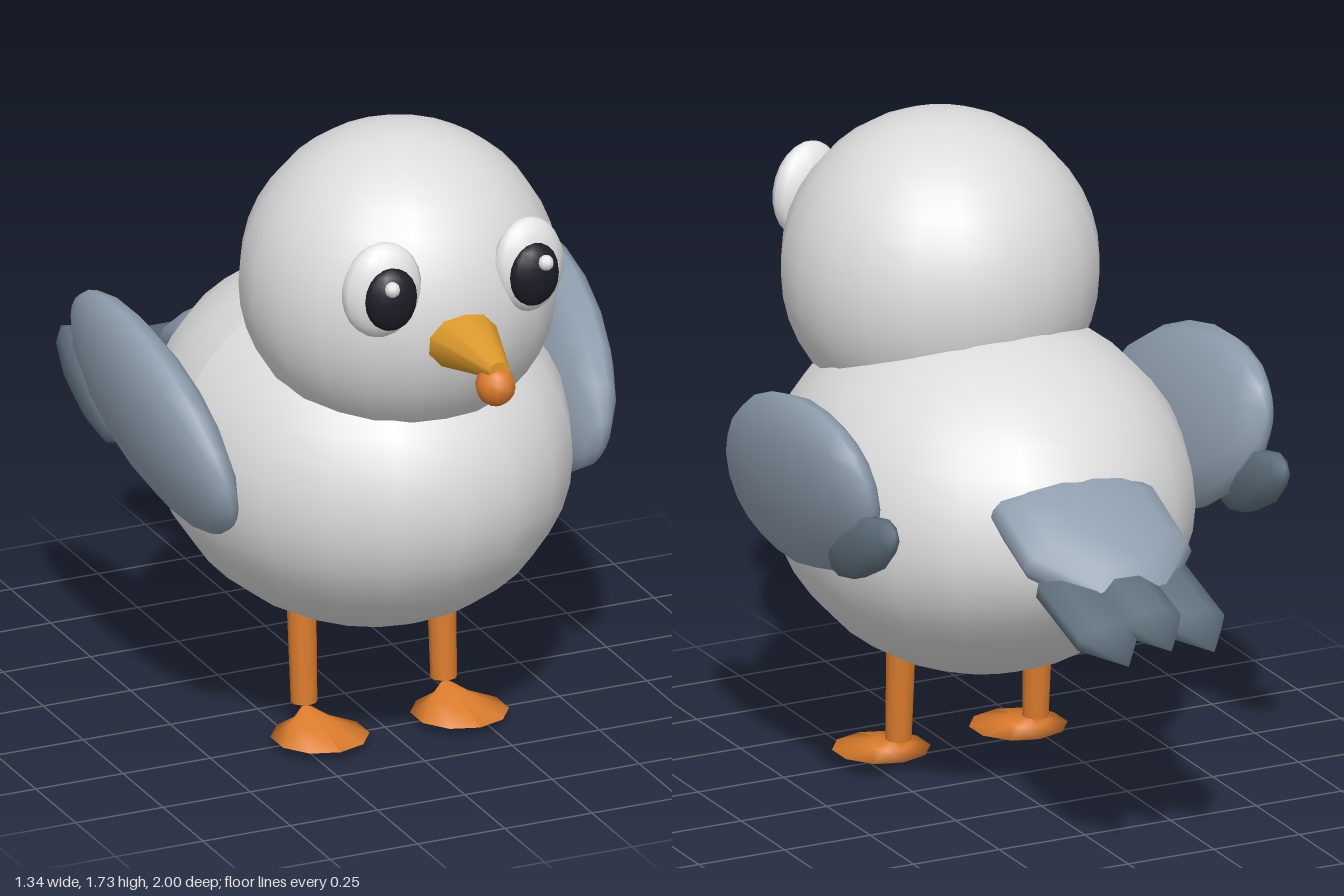
import * as THREE from 'three';

const mat = (name, color) => {
  const m = new THREE.MeshStandardMaterial({ color });
  m.name = name;
  return m;
};

export function createModel() {
  const white = mat('plumage white', 0xdcdcdd);
  const eyeWhite = mat('eye white', 0xe6e6e6);
  const black = mat('pupil black', 0x1c1c26);
  const grey = mat('wing grey', 0x8e9dad);
  const dark = mat('feather dark grey', 0x5f707c);
  const yellow = mat('beak yellow', 0xdc982c);
  const orange = mat('leg orange', 0xdb7c2d);

  const bird = new THREE.Group();
  bird.name = 'bird';

  function add(name, geometry, material, pos = [0, 0, 0], rot = [0, 0, 0], parent = bird) {
    const mesh = new THREE.Mesh(geometry, material);
    mesh.name = name;
    mesh.position.set(...pos);
    mesh.rotation.set(...rot);
    parent.add(mesh);
    return mesh;
  }

  // Ellipsoid with upright poles, or poles along z for feathers
  function ellipsoid(rx, ry, rz, w, h, alongZ = false) {
    const g = new THREE.SphereGeometry(1, w, h);
    if (alongZ) g.rotateX(Math.PI / 2).rotateZ(Math.PI / w);
    return g.scale(rx, ry, rz);
  }

  // Body: egg with the lower back lifted slightly towards the tail
  const body = ellipsoid(0.54, 0.48, 0.635, 20, 20);
  const p = body.attributes.position;
  for (let i = 0; i < p.count; i++) {
    const y = p.getY(i), z = p.getZ(i);
    if (y < 0 && z < 0) p.setY(i, y * (1 - 0.5 * z * z));
  }
  body.computeVertexNormals();
  add('body', body, white, [0, 0.78, 0.098]);
  add('head', ellipsoid(0.42, 0.42, 0.42, 20, 20), white, [0, 1.32, 0.335]);

  // Beak with a round drooping tip
  const beak = new THREE.CylinderGeometry(0.03, 0.11, 0.26, 10).rotateX(Math.PI / 2).scale(1, 0.8, 1);
  add('beak', beak, yellow, [0, 1.29, 0.835]);
  add('beakTip', ellipsoid(0.053, 0.055, 0.055, 10, 8), orange, [0, 1.24, 0.942]);

  // Tail and its three feathers
  add('tail', ellipsoid(0.25, 0.092, 0.29, 8, 8), grey, [0, 0.857, -0.53], [-0.48, Math.PI / 8, 0, 'XYZ']);
  for (const x of [-0.125, 0, 0.125]) {
    const y = x === 0 ? 0.75 : 0.728;
    add('tailFeather', ellipsoid(0.108, 0.055, 0.25, 8, 3, true), dark, [x, y, -0.762], [-0.29, 0, 0]);
  }

  // Foot: shallow dish below, tent sloping back up to the ankle
  function footGeometry() {
    const profile = [[0, -0.025], [0.075, -0.02], [0.13, 0], [0.055, 0.024], [0.015, 0.046], [0, 0.05]];
    const g = new THREE.LatheGeometry(profile.map(([r, y]) => new THREE.Vector2(r, y)), 10);
    const q = g.attributes.position;
    for (let i = 0; i < q.count; i++) q.setZ(i, q.getZ(i) - Math.max(0, q.getY(i)) * 1.8);
    g.computeVertexNormals();
    return g;
  }

  // Paired parts, mirrored across x
  for (const s of [1, -1]) {
    const side = s > 0 ? 'left' : 'right';

    const eye = new THREE.Group();
    eye.name = side + 'Eye';
    bird.add(eye);
    add('eyeball', ellipsoid(0.106, 0.132, 0.057, 14, 12), eyeWhite, [s * 0.21, 1.45, 0.688], [0, s * 0.2, s * 0.12], eye);
    add('pupil', ellipsoid(0.072, 0.087, 0.04, 12, 10), black, [s * 0.205, 1.44, 0.737], [0, s * 0.08, 0], eye);
    add('glint', ellipsoid(0.021, 0.021, 0.021, 8, 6), eyeWhite, [s * 0.22, 1.485, 0.778], [0, 0, 0], eye);

    const wing = new THREE.Group();
    wing.name = side + 'Wing';
    bird.add(wing);
    const blade = add('wingBlade', ellipsoid(0.1, 0.25, 0.44, 14, 10, true), grey, [s * 0.557, 0.912, 0.025], [0, 0, 0], wing);
    blade.rotation.set(0.31, 0, -s * 0.22, 'ZXY');
    add('wingFeather', ellipsoid(0.048, 0.08, 0.205, 8, 5, true), dark, [s * 0.57, 0.85, -0.352], [0.49, 0, 0], wing);

    const leg = new THREE.Group();
    leg.name = side + 'Leg';
    bird.add(leg);
    add('shin', new THREE.CylinderGeometry(0.039, 0.035, 0.27, 10), orange, [s * 0.2, 0.227, 0.173], [-0.057, 0, 0], leg);
    add('foot', footGeometry(), orange, [s * 0.2, 0.035, 0.28], [0, 0, 0], leg);
  }

  return bird;
}
